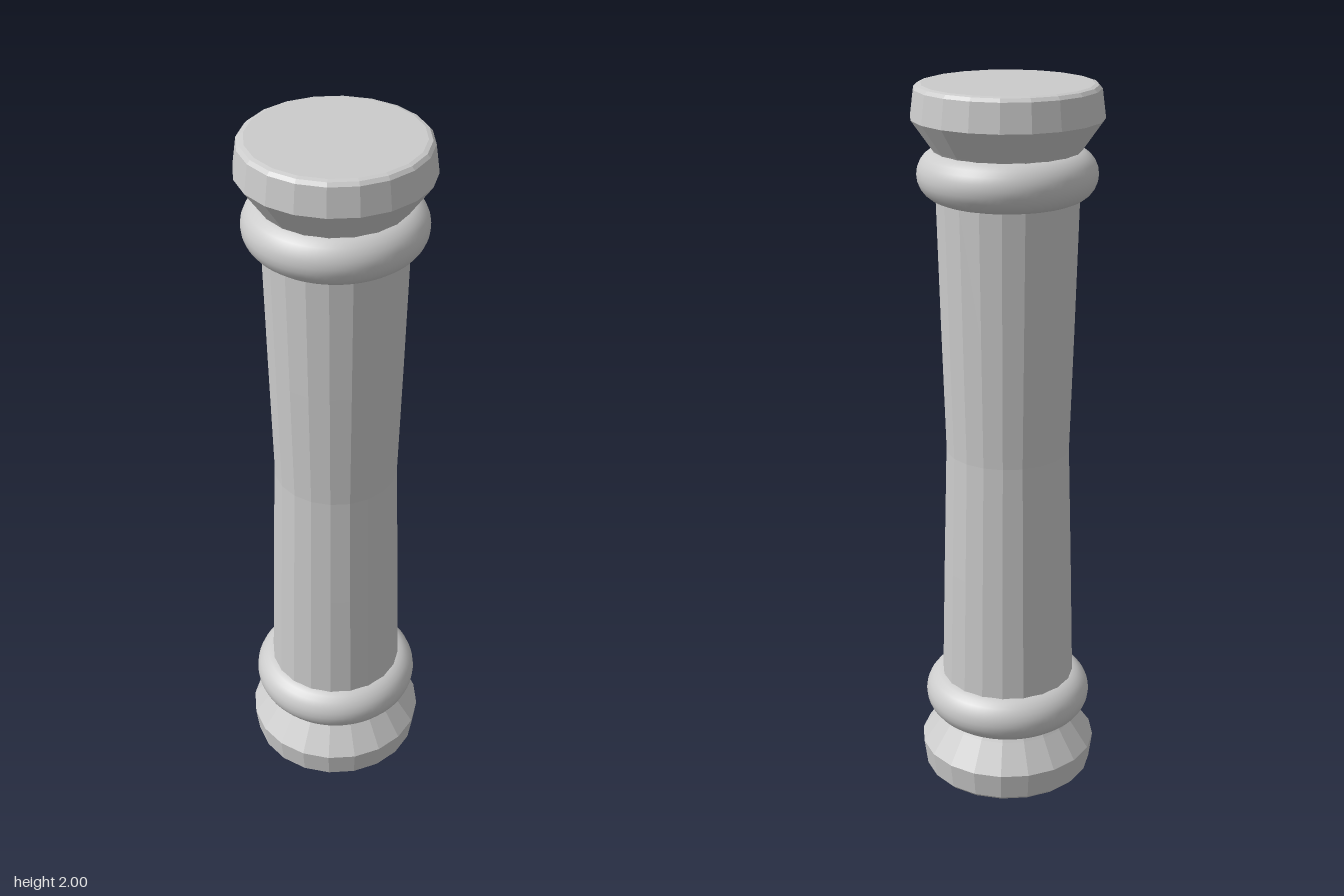
import * as THREE from 'three';

const SIDES = 20;
const material = new THREE.MeshStandardMaterial({ color: 0xcccccc });
const faceted = new THREE.MeshStandardMaterial({ color: 0xcccccc, flatShading: true });

// Faceted turned part; the profile runs upward as [radius, y]
function turned(name, profile) {
  const points = profile.map(([r, y]) => new THREE.Vector2(r, y));
  const mesh = new THREE.Mesh(new THREE.LatheGeometry(points, SIDES, Math.PI / SIDES), faceted);
  mesh.name = name;
  return mesh;
}

// Smooth rounded collar
function collar(name, y) {
  const geometry = new THREE.TorusGeometry(0.17, 0.068, 24, 64);
  geometry.rotateX(Math.PI / 2);
  const mesh = new THREE.Mesh(geometry, material);
  mesh.name = name;
  mesh.position.y = y;
  return mesh;
}

export function createModel() {
  const model = new THREE.Group();
  model.name = 'column';

  // Shaft, slightly waisted at the middle
  model.add(turned('shaft', [
    [0, 0.2], [0.191, 0.2], [0.19, 0.3], [0.181, 0.65], [0.171, 1],
    [0.181, 1.35], [0.19, 1.7], [0.191, 1.8], [0, 1.8],
  ]));

  // End cap: flared neck, tapered rim and softened edge
  const cap = [
    [0, 1.8], [0.175, 1.8], [0.198, 1.835], [0.253, 1.913],
    [0.243, 1.988], [0.235, 1.997], [0.224, 2], [0, 2],
  ];
  model.add(turned('topCap', cap));
  model.add(turned('bottomCap', cap.map(([r, y]) => [r, 2 - y]).reverse()));

  model.add(collar('topCollar', 1.767));
  model.add(collar('bottomCollar', 0.24));
  return model;
}
